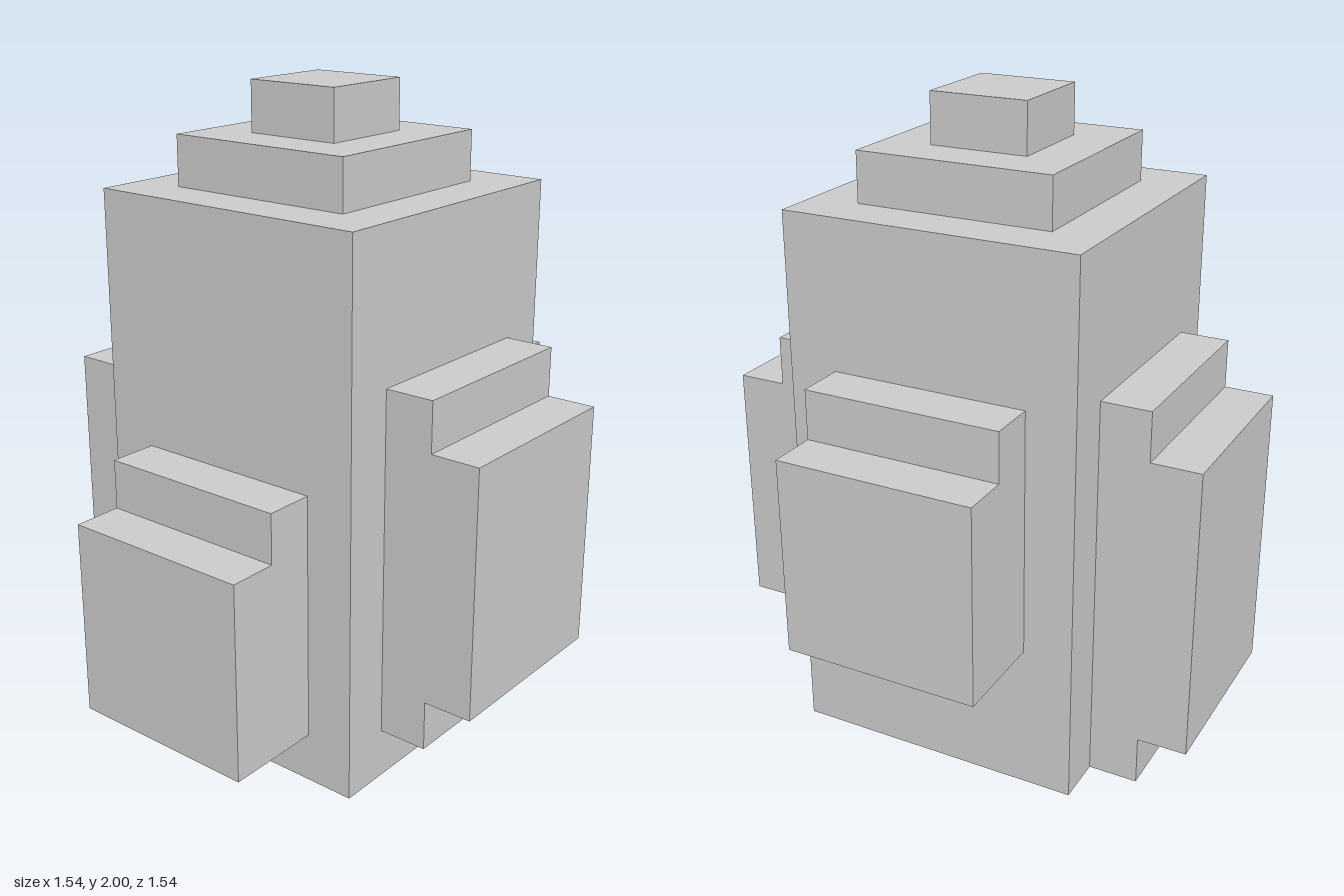
import * as THREE from 'three';

const U = 2 / 13; // one block
const material = new THREE.MeshStandardMaterial({ color: 0xcccccc, flatShading: true });

// Square block of the central tower
function tier(name, width, y0, y1) {
  const mesh = new THREE.Mesh(new THREE.BoxGeometry(width * U, (y1 - y0) * U, width * U), material);
  mesh.position.y = ((y0 + y1) / 2) * U;
  mesh.name = name;
  return mesh;
}

// Stepped pod on one wall: inner layer spans i0..i1 in height, outer layer o0..o1
function pod(name, angle, [i0, i1], [o0, o1]) {
  const outline = [[3, i0], [4, i0], [4, o0], [5, o0], [5, o1], [4, o1], [4, i1], [3, i1]]
    .filter(([x, y], i) => !(i0 === o0 && (i === 1 || i === 2))) // flush underside
    .map(([x, y]) => new THREE.Vector2(x * U, y * U));
  const geometry = new THREE.ExtrudeGeometry(new THREE.Shape(outline), { depth: 4 * U, bevelEnabled: false });
  geometry.translate(0, 0, -2 * U);
  const mesh = new THREE.Mesh(geometry, material);
  mesh.rotation.y = angle;
  mesh.name = name;
  return mesh;
}

export function createModel() {
  const group = new THREE.Group();
  group.name = 'steppedTower';
  group.add(
    // Central tower
    tier('body', 6, 0, 11),
    tier('upperTier', 4, 11, 12),
    tier('cap', 2, 12, 13),
    // Wall pods
    pod('leftPod', 0, [1, 8], [2, 7]),
    pod('rightPod', Math.PI, [0, 8], [1, 7]),
    pod('frontPod', -Math.PI / 2, [1, 6], [1, 5]),
    pod('backPod', Math.PI / 2, [3, 8], [3, 7]),
  );
  return group;
}
